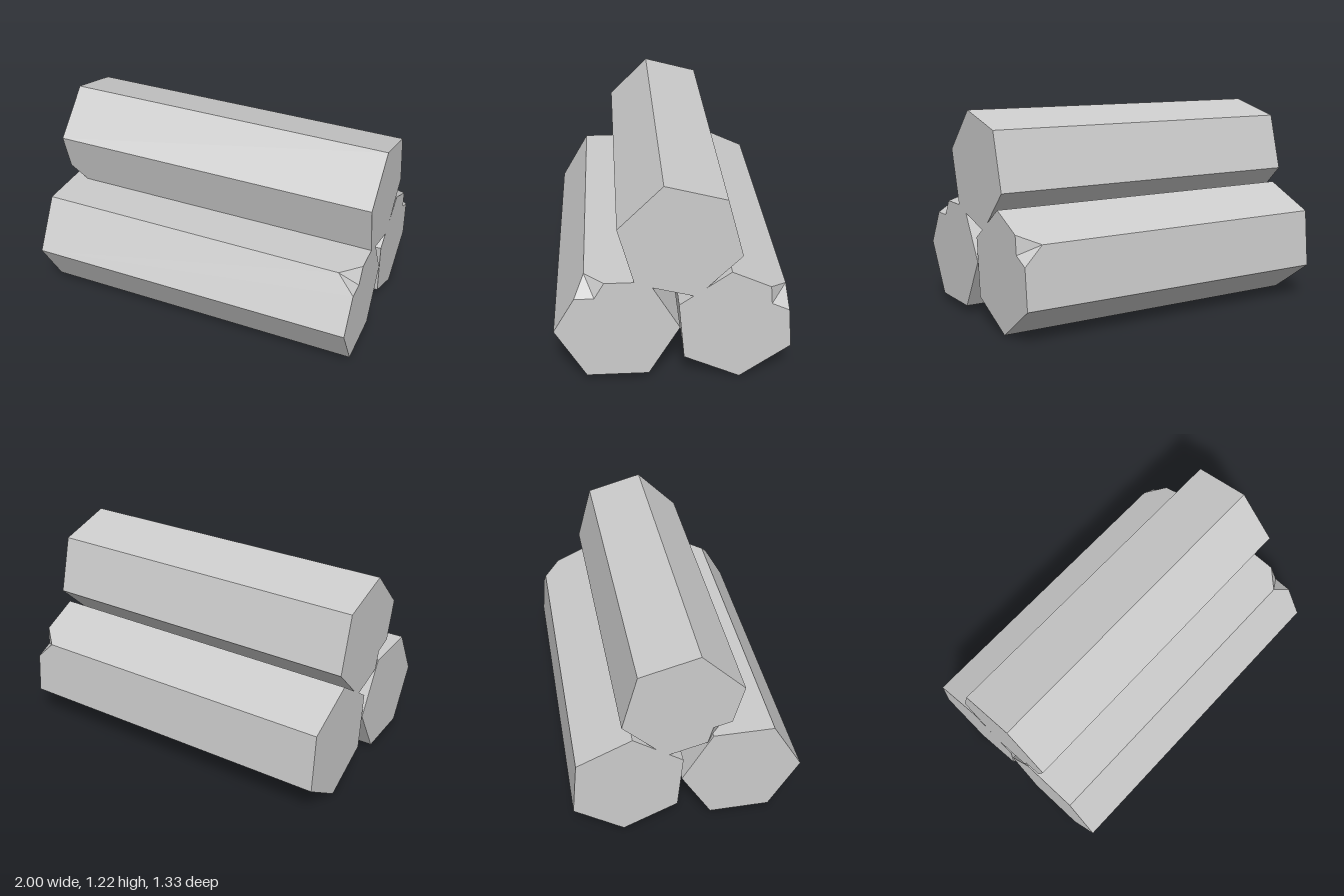
import * as THREE from 'three';

const RADIUS = 0.35;
const HALF = 1;
const CHIP = 0.11;

// Hexagonal log along x, with one corner chipped off at the +x end.
// chipAngle (degrees, from +z towards +y) points at the chipped long edge.
function logGeometry(chipAngle) {
  const ring = (x) => Array.from({ length: 6 }, (_, i) => {
    const a = THREE.MathUtils.degToRad(chipAngle + i * 60);
    return new THREE.Vector3(x, RADIUS * Math.sin(a), RADIUS * Math.cos(a));
  });
  const near = ring(-HALF);
  const far = ring(HALF);

  // Corners of the chip
  const t = CHIP / RADIUS;
  const apex = far[0].clone().setX(HALF - CHIP);
  const next = far[0].clone().lerp(far[1], t);
  const prev = far[0].clone().lerp(far[5], t);
  const inner = next.clone().add(prev).sub(far[0]);

  const positions = [];
  const face = (...p) => {
    for (let i = 1; i < p.length - 1; i++) {
      for (const v of [p[0], p[i], p[i + 1]]) positions.push(v.x, v.y, v.z);
    }
  };

  // Long sides; the first and last lose a corner to the chip
  face(near[0], apex, next, far[1], near[1]);
  for (let i = 1; i < 5; i++) face(near[i], far[i], far[i + 1], near[i + 1]);
  face(near[5], far[5], prev, apex, near[0]);

  // Ends
  face(...near);
  face(inner, prev, far[5], far[4], far[3], far[2], far[1], next);

  // Chip facets
  face(apex, inner, next);
  face(apex, prev, inner);

  const geometry = new THREE.BufferGeometry();
  geometry.setAttribute('position', new THREE.Float32BufferAttribute(positions, 3));
  geometry.computeVertexNormals();
  return geometry;
}

export function createModel() {
  const group = new THREE.Group();
  group.name = 'logPile';
  const material = new THREE.MeshStandardMaterial({ color: 0xcccccc, flatShading: true });

  // The top log is turned end for end, so its chip is at -x
  const logs = [
    { name: 'frontLog', y: 0.35, z: 0.315, chipAngle: 60, turn: 0 },
    { name: 'backLog', y: 0.35, z: -0.345, chipAngle: 145, turn: 0 },
    { name: 'topLog', y: 0.888, z: -0.034, chipAngle: 225, turn: Math.PI },
  ];
  for (const { name, y, z, chipAngle, turn } of logs) {
    const log = new THREE.Mesh(logGeometry(chipAngle), material);
    log.name = name;
    log.position.set(0, y, z);
    log.rotation.y = turn;
    group.add(log);
  }
  return group;
}
